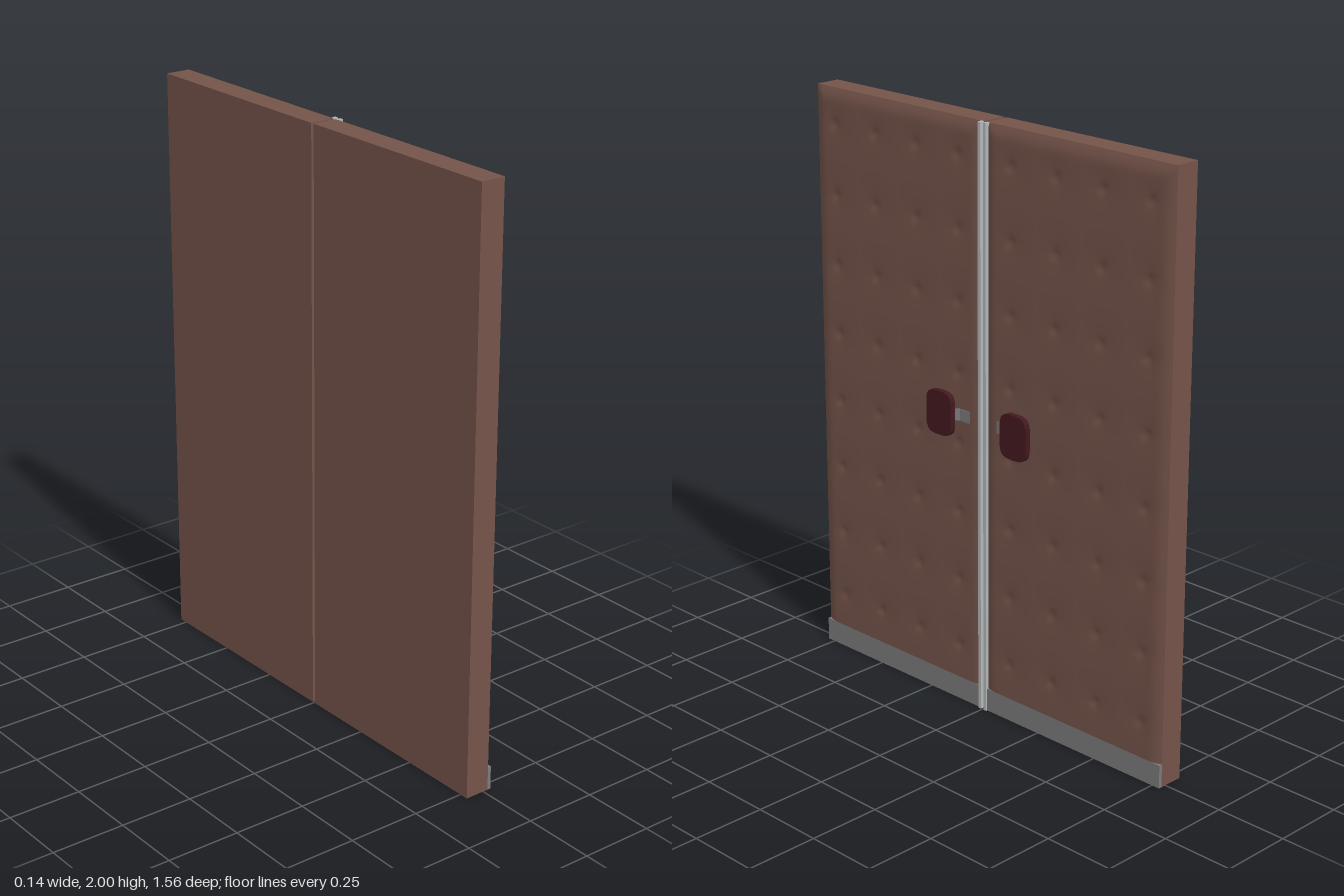
import * as THREE from 'three';

const mat = (color, extra = {}) => new THREE.MeshStandardMaterial({ color, ...extra });
const BROWN = mat(0x75544a);
const STEEL = mat(0x7c7c7c);
const TRIM = mat(0xb4b8ba);
const GRIP = mat(0x43191f);

const GAP = 0.006, EDGE = 0.78, HEIGHT = 2, KICK = 0.08;
const BACK = -0.068, SLAB = 0.018, FACE = 0.03;

// Box given by its limits on each axis
function box(name, material, [x0, x1], [y0, y1], [z0, z1]) {
  const mesh = new THREE.Mesh(new THREE.BoxGeometry(x1 - x0, y1 - y0, Math.abs(z1 - z0)), material);
  mesh.position.set((x0 + x1) / 2, (y0 + y1) / 2, (z0 + z1) / 2);
  mesh.name = name;
  return mesh;
}

// Upholstered face: rounded towards its edges, pulled in at a grid of buttons
function paddedFace(side) {
  const w = EDGE - GAP, h = HEIGHT - KICK;
  const geo = new THREE.PlaneGeometry(w, h, 64, 160);
  geo.rotateY(Math.PI / 2);
  geo.translate(0, KICK + h / 2, side * (GAP + w / 2));
  const p = geo.attributes.position;
  for (let i = 0; i < p.count; i++) {
    const y = p.getY(i), z = Math.abs(p.getZ(i));
    const edge = Math.min(z - GAP, EDGE - z, HEIGHT - y);
    const t = 1 - Math.min(Math.max(edge, 0) / 0.05, 1);
    const col = Math.min(Math.max(Math.round((z - 0.117) / 0.191), 0), 3);
    const row = Math.min(Math.max(Math.round((y - 0.2) / 0.24), 0), 7);
    const r2 = (z - 0.117 - col * 0.191) ** 2 + (y - 0.2 - row * 0.24) ** 2;
    const dimple = 0.006 * Math.exp(-r2 / 0.00018) + 0.003 * Math.exp(-r2 / 0.003);
    p.setX(i, FACE - Math.min(0.012 * t * t + dimple, FACE - SLAB));
  }
  geo.computeVertexNormals();
  const mesh = new THREE.Mesh(geo, BROWN);
  mesh.name = 'paddedFace';
  return mesh;
}

// Barrel-shaped grip plate on a bent steel bracket
function handle(side) {
  const group = new THREE.Group();
  group.name = 'handle';

  const a = 0.057, b = 0.052, top = 0.075;
  const outline = new THREE.Shape();
  outline.moveTo(-a, -b * 0.6);
  outline.bezierCurveTo(-a, -top, -a * 0.55, -top, 0, -top);
  outline.bezierCurveTo(a * 0.55, -top, a, -top, a, -b * 0.6);
  outline.lineTo(a, b * 0.6);
  outline.bezierCurveTo(a, top, a * 0.55, top, 0, top);
  outline.bezierCurveTo(-a * 0.55, top, -a, top, -a, b * 0.6);
  outline.closePath();
  const gripGeo = new THREE.ExtrudeGeometry(outline, { depth: 0.02, bevelEnabled: false, curveSegments: 8 });
  gripGeo.rotateY(Math.PI / 2);
  const grip = new THREE.Mesh(gripGeo, GRIP);
  grip.position.set(0.047, 1.02, side * 0.168);
  grip.name = 'grip';

  // Bracket profile in x and z: foot, slope, tongue behind the grip
  const path = [[0.029, 0.063], [0.029, 0.105], [0.044, 0.125], [0.044, 0.168]];
  const profile = new THREE.Shape();
  path.forEach(([x, z], i) => (i ? profile.lineTo(z, x) : profile.moveTo(z, x)));
  [...path].reverse().forEach(([x, z]) => profile.lineTo(z, x + 0.003));
  const bracketGeo = new THREE.ExtrudeGeometry(profile, { depth: 0.04, bevelEnabled: false });
  bracketGeo.rotateX(-Math.PI / 2);
  bracketGeo.rotateY(-Math.PI / 2);
  // Now z carries the length and x the offset; the other leaf is a half turn about x
  const bracket = new THREE.Mesh(bracketGeo, STEEL);
  bracket.position.y = side > 0 ? 1.0 : 1.04;
  if (side < 0) bracket.rotation.x = Math.PI;
  bracket.name = 'bracket';

  group.add(grip, bracket);
  return group;
}

function doorLeaf(side) {
  const leaf = new THREE.Group();
  leaf.name = side > 0 ? 'frontLeaf' : 'rearLeaf';
  const span = [side * GAP, side * EDGE];
  leaf.add(
    box('slab', BROWN, [BACK, SLAB], [0, HEIGHT], span),
    box('kickPlate', STEEL, [SLAB, FACE], [0, KICK], span),
    box('meetingStrip', TRIM, [SLAB, 0.036], [0, HEIGHT], [side * GAP, side * 0.018]),
    paddedFace(side),
    handle(side)
  );
  return leaf;
}

export function createModel() {
  const model = new THREE.Group();
  model.name = 'paddedDoubleDoor';
  for (const side of [1, -1]) model.add(doorLeaf(side));
  return model;
}
